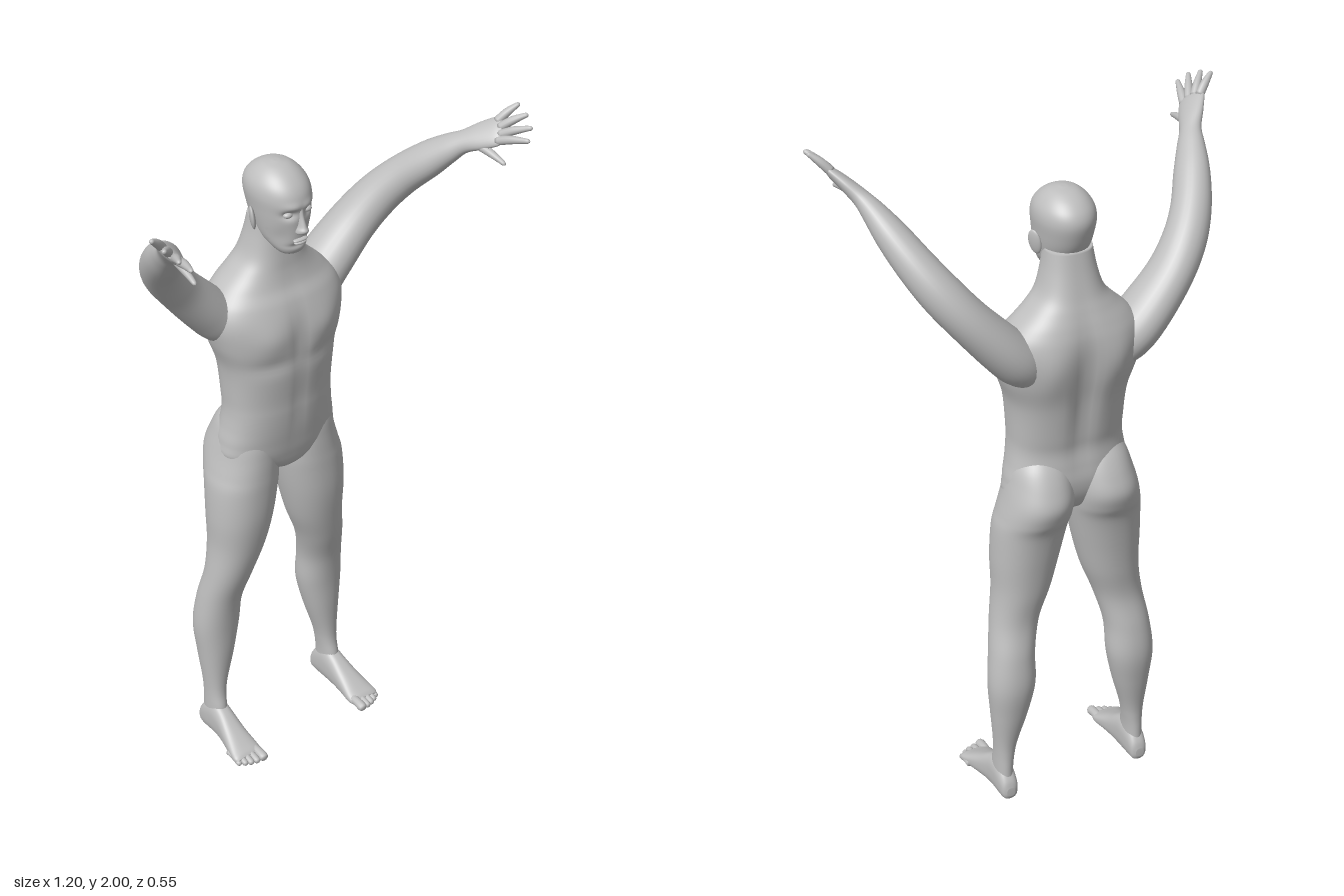
import * as THREE from 'three';

const skin = new THREE.MeshStandardMaterial({ color: 0xbebebe });
skin.name = 'plain grey';

const bell = (v, c, s) => Math.exp(-(((v - c) / s) ** 2));

// Smooth interpolation of section rows, column by column
function sample(rows, steps) {
  const out = [], last = rows.length - 1;
  for (let k = 0; k <= last * steps; k++) {
    const i = Math.min(Math.floor(k / steps), last - 1), t = k / steps - i;
    const [p, q, r, s] = [-1, 0, 1, 2].map(d => rows[Math.max(0, Math.min(last, i + d))]);
    out.push(q.map((_, c) => q[c] + 0.5 * t * (r[c] - p[c]
      + t * (2 * p[c] - 5 * q[c] + 4 * r[c] - s[c] + t * (3 * (q[c] - r[c]) + s[c] - p[c])))));
  }
  return out;
}

// Closed skin through rings of points, capped at both ends
function skinRings(rings) {
  const n = rings[0].length, pos = [], index = [];
  rings.forEach(ring => ring.forEach(p => pos.push(p.x, p.y, p.z)));
  for (let i = 0; i < rings.length - 1; i++) {
    for (let j = 0; j < n; j++) {
      const a = i * n + j, b = i * n + (j + 1) % n;
      index.push(a, a + n, b, b, a + n, b + n);
    }
  }
  [0, rings.length - 1].forEach((row, end) => {
    const c = new THREE.Vector3(), centre = pos.length / 3;
    rings[row].forEach(p => c.addScaledVector(p, 1 / n));
    pos.push(c.x, c.y, c.z);
    for (let j = 0; j < n; j++) {
      const a = row * n + j, b = row * n + (j + 1) % n;
      if (end) index.push(centre, b, a); else index.push(centre, a, b);
    }
  });
  const g = new THREE.BufferGeometry();
  g.setAttribute('position', new THREE.Float32BufferAttribute(pos, 3));
  g.setIndex(index);
  g.computeVertexNormals();
  return g;
}

// Upright form; rows are [height, x0, x1, zFront, zBack]
function column(rows, power = 2, deform = null, sides = 48, steps = 6) {
  const curve = v => Math.sign(v) * Math.abs(v) ** (2 / power);
  return skinRings(sample(rows, steps).map(([y, x0, x1, zf, zb]) =>
    Array.from({ length: sides }, (_, j) => {
      const a = (j / sides) * Math.PI * 2;
      const p = new THREE.Vector3((x0 + x1) / 2 + (x1 - x0) / 2 * curve(Math.cos(a)), y,
        (zf + zb) / 2 + (zf - zb) / 2 * curve(Math.sin(a)));
      if (deform) deform(p);
      return p;
    })));
}

// Limb along a path; rows are [x, y, z, radius across, radius through]
function limb(rows, sides = 28, steps = 6) {
  const s = sample(rows, steps), at = i => new THREE.Vector3(...s[Math.max(0, Math.min(s.length - 1, i))].slice(0, 3));
  const ref = new THREE.Vector3(-0.75, 0.66, 0);
  return skinRings(s.map((row, i) => {
    const t = at(i + 1).sub(at(i - 1)).normalize();
    const u = new THREE.Vector3().crossVectors(t, ref).normalize();
    const v = new THREE.Vector3().crossVectors(u, t);
    return Array.from({ length: sides }, (_, j) => {
      const a = (j / sides) * Math.PI * 2;
      return at(i).addScaledVector(u, row[3] * Math.cos(a)).addScaledVector(v, row[4] * Math.sin(a));
    });
  }));
}

// Finger or toe with a rounded tip
function digit(from, to, r0, r1, lift = 0) {
  const row = (t, r) => [...from.map((v, i) => v + (to[i] - v) * t + (i === 1 ? lift * Math.sin(t * Math.PI) : 0)), r, r];
  return limb([row(0, r0), row(0.4, r0 * 0.95), row(0.8, r1), row(0.95, r1 * 0.75), row(1, r1 * 0.15)], 12, 4);
}

function ball(x, y, z, rx, ry, rz) {
  return new THREE.SphereGeometry(1, 24, 16).scale(rx, ry, rz).translate(x, y, z);
}

function mirrored(geometry) {
  const g = geometry.clone().scale(-1, 1, 1), ix = g.index;
  for (let i = 0; i < ix.count; i += 3) {
    const a = ix.getX(i);
    ix.setX(i, ix.getX(i + 1));
    ix.setX(i + 1, a);
  }
  return g;
}

export function createModel() {
  const model = new THREE.Group();
  model.name = 'standing figure';
  const add = (name, geometry) => {
    const mesh = new THREE.Mesh(geometry, skin);
    mesh.name = name;
    model.add(mesh);
  };
  const pair = (name, geometry) => {
    add('left ' + name, geometry);
    add('right ' + name, mirrored(geometry));
  };
  const even = ([y, w, zf, zb]) => [y, -w, w, zf, zb];

  // Torso and neck, with spine groove, shoulder blades and chest
  add('torso', column([
    [0.925, 0.02, -0.08, -0.15], [0.955, 0.09, -0.048, -0.2], [1.0, 0.18, -0.035, -0.225],
    [1.05, 0.184, -0.027, -0.235], [1.1, 0.174, -0.02, -0.232], [1.15, 0.167, -0.015, -0.228],
    [1.2, 0.167, -0.012, -0.235], [1.3, 0.175, -0.002, -0.25], [1.38, 0.2, -0.004, -0.263],
    [1.45, 0.213, -0.012, -0.268], [1.5, 0.2, -0.028, -0.266], [1.54, 0.167, -0.05, -0.257],
    [1.58, 0.125, -0.062, -0.243], [1.62, 0.093, -0.068, -0.228], [1.68, 0.075, -0.075, -0.21],
    [1.74, 0.066, -0.08, -0.195],
  ].map(even), 2.35, p => {
    const x = Math.abs(p.x), y = p.y;
    if (p.z < -0.15) {
      p.z += 0.018 * bell(x, 0, 0.03) * bell(y, 1.33, 0.2) - 0.013 * bell(x, 0.1, 0.05) * bell(y, 1.43, 0.08);
    } else if (p.z > -0.1) {
      p.z += 0.011 * bell(x, 0.09, 0.06) * bell(y, 1.41, 0.05) - 0.008 * bell(x, 0, 0.02) * bell(y, 1.38, 0.12)
        - 0.006 * bell(y, 1.325, 0.025) * bell(x, 0.09, 0.07) - 0.005 * bell(x, 0, 0.015) * bell(y, 1.17, 0.1);
    }
  }, 64));

  // Head with eye sockets, brow, cheeks and chin
  add('head', column([
    [1.65, 0.02, -0.035, -0.07], [1.658, 0.036, -0.022, -0.09], [1.675, 0.05, -0.014, -0.12],
    [1.7, 0.062, -0.01, -0.165], [1.74, 0.071, -0.006, -0.195], [1.78, 0.077, -0.003, -0.212],
    [1.82, 0.081, -0.004, -0.221], [1.85, 0.076, -0.017, -0.213], [1.875, 0.06, -0.042, -0.19],
    [1.892, 0.038, -0.072, -0.16], [1.899, 0.014, -0.1, -0.13], [1.9, 0.002, -0.113, -0.117],
  ].map(even), 2.1, p => {
    if (p.z < -0.07) return;
    const x = Math.abs(p.x);
    p.z += 0.005 * bell(x, 0.025, 0.025) * bell(p.y, 1.806, 0.011) - 0.013 * bell(x, 0.032, 0.016) * bell(p.y, 1.783, 0.012)
      - 0.006 * bell(p.y, 1.684, 0.008) * bell(x, 0, 0.03) - 0.006 * bell(x, 0.05, 0.02) * bell(p.y, 1.71, 0.03);
  }, 64, 8));
  add('nose', column([
    [1.722, -0.008, 0.008, -0.004, -0.02], [1.728, -0.017, 0.017, 0.012, -0.025], [1.738, -0.016, 0.016, 0.02, -0.025],
    [1.75, -0.011, 0.011, 0.014, -0.025], [1.775, -0.008, 0.008, 0.004, -0.025], [1.8, -0.009, 0.009, -0.002, -0.025],
  ], 2, null, 24));
  add('upper lip', ball(0, 1.704, -0.009, 0.024, 0.005, 0.01));
  add('lower lip', ball(0, 1.695, -0.01, 0.02, 0.005, 0.01));
  pair('eye', ball(0.032, 1.782, -0.023, 0.014, 0.009, 0.012));
  pair('ear', ball(0, 0, 0, 0.008, 0.036, 0.021).rotateY(0.45).rotateZ(-0.15).translate(0.083, 1.752, -0.112));

  // Arm and palm, raised outward and reaching forward
  pair('arm', limb([
    [0.11, 1.385, -0.16, 0.06, 0.045], [0.16, 1.44, -0.168, 0.083, 0.068], [0.215, 1.497, -0.17, 0.085, 0.067],
    [0.297, 1.588, -0.158, 0.074, 0.061], [0.358, 1.664, -0.128, 0.065, 0.059], [0.405, 1.733, -0.078, 0.058, 0.054],
    [0.443, 1.8, -0.01, 0.053, 0.046], [0.469, 1.849, 0.045, 0.042, 0.034], [0.487, 1.878, 0.082, 0.034, 0.025],
    [0.51, 1.904, 0.122, 0.041, 0.02], [0.533, 1.926, 0.16, 0.044, 0.015], [0.542, 1.934, 0.175, 0.036, 0.008],
  ]));
  const fingers = {
    thumb: [[0.496, 1.884, 0.118], [0.508, 1.862, 0.228]],
    'index finger': [[0.519, 1.91, 0.178], [0.55, 1.938, 0.274]],
    'middle finger': [[0.531, 1.923, 0.174], [0.574, 1.963, 0.256]],
    'ring finger': [[0.541, 1.936, 0.161], [0.592, 1.982, 0.217]],
    'little finger': [[0.547, 1.945, 0.143], [0.6, 1.994, 0.172]],
  };
  for (const [name, [from, to]] of Object.entries(fingers)) pair(name, digit(from, to, 0.0125, 0.008, 0.004));

  // Leg from ankle to buttock
  pair('leg', column([
    [0.03, 0.187, 0.238, -0.105, -0.2], [0.1, 0.186, 0.238, -0.108, -0.199], [0.15, 0.181, 0.238, -0.118, -0.199],
    [0.2, 0.171, 0.241, -0.12, -0.204], [0.3, 0.142, 0.251, -0.115, -0.223], [0.4, 0.121, 0.259, -0.11, -0.236],
    [0.5, 0.117, 0.25, -0.097, -0.225], [0.6, 0.093, 0.235, -0.07, -0.206], [0.7, 0.056, 0.224, -0.05, -0.214],
    [0.8, 0.03, 0.225, -0.037, -0.225], [0.9, 0.01, 0.22, -0.035, -0.241], [0.95, 0.004, 0.209, -0.036, -0.262],
    [1.0, 0.002, 0.196, -0.038, -0.273], [1.05, 0.003, 0.183, -0.042, -0.258], [1.1, 0.012, 0.168, -0.055, -0.232],
    [1.14, 0.04, 0.14, -0.08, -0.2],
  ], 2.15));

  // Foot, lofted heel to ball and laid flat
  pair('foot', column([
    [-0.214, 0.2, 0.225, -0.018, -0.045], [-0.205, 0.188, 0.236, -0.004, -0.07], [-0.18, 0.184, 0.241, 0, -0.1],
    [-0.14, 0.181, 0.243, 0, -0.118], [-0.1, 0.18, 0.246, 0, -0.103], [-0.05, 0.177, 0.256, 0, -0.072],
    [0, 0.172, 0.267, 0, -0.044], [0.02, 0.174, 0.268, -0.003, -0.034], [0.03, 0.18, 0.262, -0.008, -0.026],
  ], 2.5).rotateX(Math.PI / 2));
  [[0.188, 0.064, 0.0145], [0.21, 0.06, 0.0105], [0.228, 0.055, 0.01], [0.244, 0.047, 0.0095], [0.259, 0.036, 0.009]]
    .forEach(([x, z, r], i) => pair('toe ' + (i + 1), digit([x, 0.02, z - 0.06], [x, r, z], r, r, 0.004)));

  return model;
}
